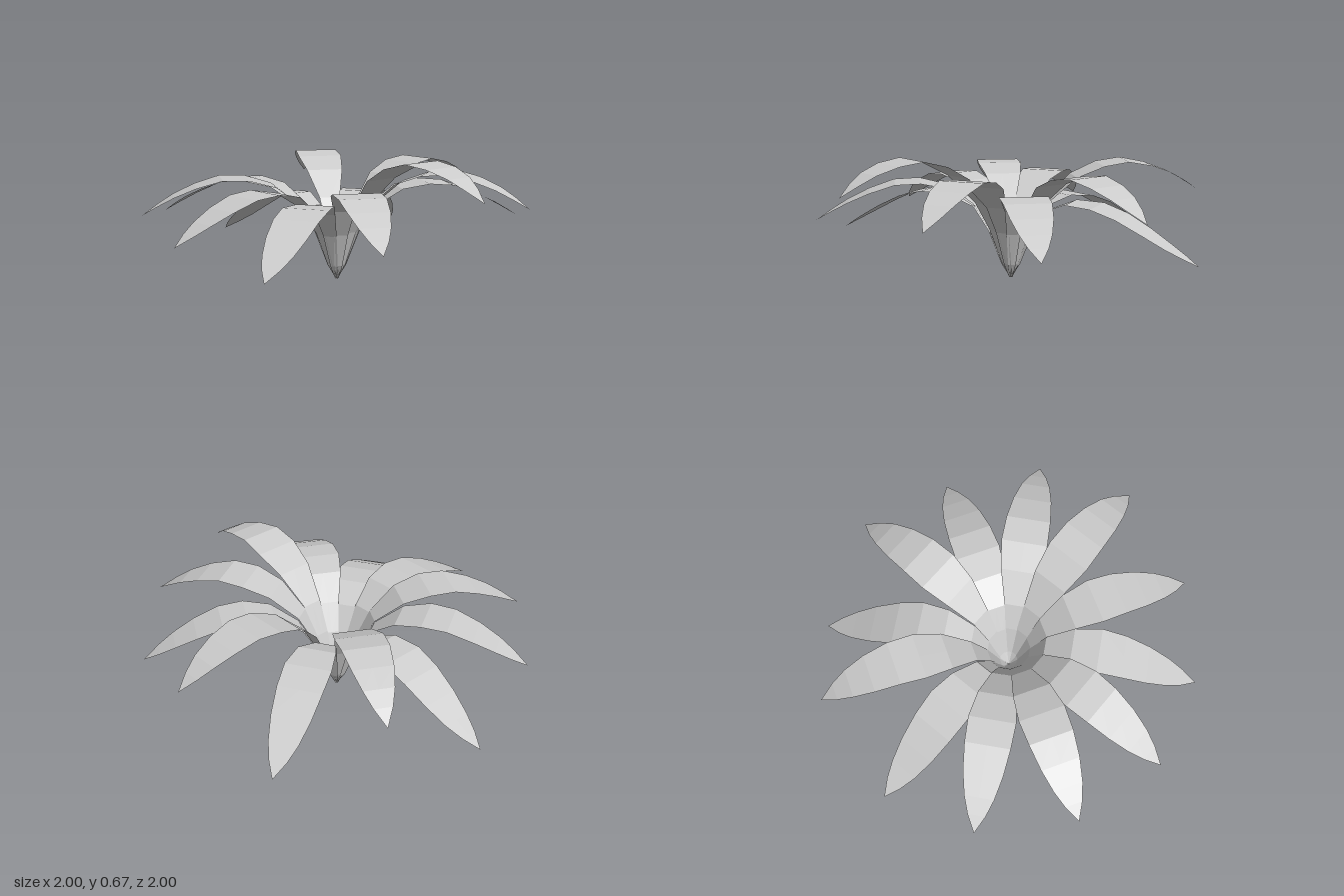
import * as THREE from 'three';

// Rows along a leaf: [distance from centre, half width, height if drooping, height if raised]
const ROWS = [
  [0, 0.01, 0, 0],
  [0.045, 0.02, 0.07, 0.08],
  [0.11, 0.036, 0.24, 0.26],
  [0.19, 0.055, 0.365, 0.41],
  [0.33, 0.098, 0.42, 0.56],
  [0.47, 0.12, 0.41, 0.635],
  [0.6, 0.115, 0.365, 0.67],
  [0.73, 0.1, 0.295, 0.655],
  [0.84, 0.075, 0.23, 0.62],
  [0.92, 0.045, 0.185, 0.575],
  [1, 0, 0.14, 0.52],
];

// Tip height of each leaf, every 30 degrees from the front towards the left
const TIPS = [0.2, 0.33, 0.52, 0.42, 0.3, 0.43, 0.14, 0.45, 0.13, 0.31, 0.37, 0.3];

// One arching leaf pointing along +z, flat across its width
function leafGeometry(tip) {
  const lift = (tip - 0.14) / (0.52 - 0.14);
  const geometry = new THREE.PlaneGeometry(2, 1, 2, ROWS.length - 1);
  const pos = geometry.attributes.position;
  for (let i = 0; i < pos.count; i++) {
    const [r, halfWidth, low, high] = ROWS[Math.floor(i / 3)];
    pos.setXYZ(i, pos.getX(i) * halfWidth, THREE.MathUtils.lerp(low, high, lift), r);
  }
  geometry.computeVertexNormals();
  return geometry;
}

export function createModel() {
  const plant = new THREE.Group();
  plant.name = 'leafRosette';
  const material = new THREE.MeshStandardMaterial({
    color: 0xcccccc, flatShading: true, side: THREE.DoubleSide,
  });

  // Ring of leaves sharing one root
  TIPS.forEach((tip, i) => {
    const leaf = new THREE.Mesh(leafGeometry(tip), material);
    leaf.name = `leaf${i + 1}`;
    leaf.rotation.y = (i / TIPS.length) * Math.PI * 2;
    plant.add(leaf);
  });
  return plant;
}
